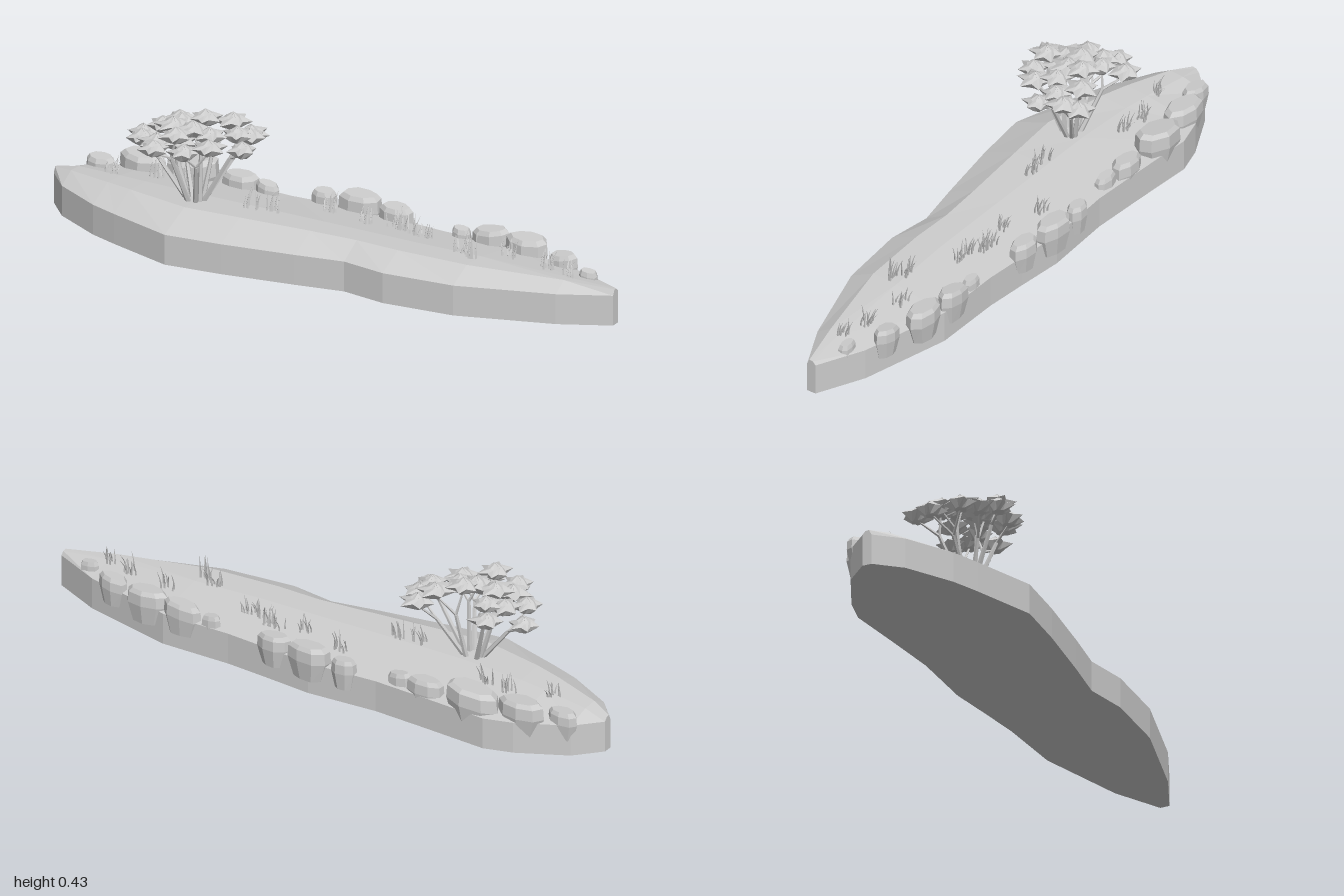
import * as THREE from 'three';
import { mergeGeometries } from 'three/addons/utils/BufferGeometryUtils.js';

const stone = new THREE.MeshStandardMaterial({ color: 0xcccccc, flatShading: true, side: THREE.DoubleSide });
stone.name = 'pale grey';

let seed = 7;
const rand = (a = 0, b = 1) => {
  seed = (seed * 16807) % 2147483647;
  return a + (b - a) * (seed / 2147483647);
};
const V = (x, y, z) => new THREE.Vector3(x, y, z);

function part(name, geometries) {
  const flat = geometries.map((g) => {
    const n = g.index ? g.toNonIndexed() : g;
    n.deleteAttribute('uv');
    n.computeVertexNormals();
    return n;
  });
  const mesh = new THREE.Mesh(mergeGeometries(flat), stone);
  mesh.name = name;
  return mesh;
}

// Skin a list of equal loops and cap both ends
function loft(loops) {
  const p = [];
  const tri = (...vs) => vs.forEach((v) => p.push(v.x, v.y, v.z));
  const n = loops[0].length;
  for (let i = 0; i < loops.length - 1; i++) {
    for (let j = 0; j < n; j++) {
      const k = (j + 1) % n, A = loops[i], B = loops[i + 1];
      tri(A[j], A[k], B[k]);
      tri(A[j], B[k], B[j]);
    }
  }
  const first = loops[0], last = loops[loops.length - 1];
  for (let j = 1; j < n - 1; j++) {
    tri(first[0], first[j + 1], first[j]);
    tri(last[0], last[j], last[j + 1]);
  }
  const g = new THREE.BufferGeometry();
  g.setAttribute('position', new THREE.Float32BufferAttribute(p, 3));
  return g;
}

// Island stations: x, back z, middle z, ridge z, front z, middle y, ridge y
const stations = [
  [-1, -0.045, -0.035, -0.022, -0.013, 0.116, 0.118],
  [-0.925, -0.125, -0.04, 0.01, 0.067, 0.128, 0.132],
  [-0.765, -0.205, -0.02, 0.06, 0.152, 0.137, 0.143],
  [-0.67, -0.232, -0.01, 0.085, 0.185, 0.14, 0.147],
  [-0.45, -0.218, 0, 0.13, 0.253, 0.143, 0.149],
  [-0.26, -0.208, 0, 0.115, 0.232, 0.143, 0.148],
  [-0.02, -0.222, 0, 0.095, 0.193, 0.142, 0.146],
  [0.14, -0.207, 0, 0.085, 0.163, 0.141, 0.144],
  [0.29, -0.195, 0, 0.09, 0.185, 0.14, 0.143],
  [0.53, -0.195, -0.01, 0.08, 0.163, 0.137, 0.14],
  [0.84, -0.12, -0.02, 0.015, 0.065, 0.126, 0.13],
  [1, -0.045, -0.035, -0.022, -0.013, 0.116, 0.118],
];

function groundY(x, z) {
  let i = 0;
  while (i < stations.length - 2 && stations[i + 1][0] < x) i++;
  const a = stations[i], b = stations[i + 1], t = (x - a[0]) / (b[0] - a[0]);
  const [, zb, zm, zr, zf, ym, yr] = a.map((v, k) => v + (b[k] - v) * t);
  if (z < zm) return THREE.MathUtils.mapLinear(z, zb, zm, 0.105, ym);
  if (z < zr) return THREE.MathUtils.mapLinear(z, zm, zr, ym, yr);
  return THREE.MathUtils.mapLinear(z, zr, zf, yr, 0.1);
}

// Boulder: faceted barrel with a narrower foot and a chamfered top
function boulder(x, z, rx, rz, top) {
  const sides = 8, turn = rand(0, 1);
  const wobble = Array.from({ length: sides }, () => rand(0.88, 1.06));
  const tilt = rand(-0.15, 0.15);
  const rings = [[0.05, 0.72], [0.05 + (top - 0.05) * 0.55, 1], [top - 0.014, 0.96], [top, 0.76]];
  return loft(rings.map(([y, s]) => wobble.map((w, i) => {
    const a = turn - (i / sides) * Math.PI * 2;
    const dx = Math.cos(a) * rx * s * w, dz = Math.sin(a) * rz * s * w;
    return V(x + dx, y + (y > 0.06 ? dx * tilt - dz * 0.1 : 0), z + dz);
  })));
}

// Tapered limb between two points
function limb(a, b, r0, r1) {
  const d = b.clone().sub(a);
  const g = new THREE.CylinderGeometry(r1, r0, d.length(), 5, 1);
  g.applyQuaternion(new THREE.Quaternion().setFromUnitVectors(V(0, 1, 0), d.normalize()));
  return g.translate((a.x + b.x) / 2, (a.y + b.y) / 2, (a.z + b.z) / 2);
}

// Leaf tuft: pointed star rim between a peaked top and a shallow bowl
function tuft([x, y, z]) {
  const n = 12, turn = rand(0, 6), size = rand(0.9, 1.12);
  const reach = Array.from({ length: n }, (_, i) => (i % 2 ? 0.034 : rand(0.048, 0.062)) * size);
  const ring = (f, h) => reach.map((r, i) => {
    const a = turn - (i / n) * Math.PI * 2, q = f(r);
    return V(x + Math.cos(a) * q, y + h + (i % 2 ? 0.003 : 0) * size, z + Math.sin(a) * q);
  });
  return loft([ring(() => 0.02, -0.024), ring((r) => r, 0), ring(() => 0.022, 0.012), ring(() => 0.001, 0.026)]);
}

// Grass blade: thin cone that bends towards its tip
function blade(x, z, h) {
  const g = new THREE.CylinderGeometry(0.0006, 0.0042, h, 3, 3).translate(0, h / 2, 0);
  const p = g.attributes.position, lx = rand(-0.012, 0.012), lz = rand(-0.024, 0.004);
  for (let i = 0; i < p.count; i++) {
    const t = (p.getY(i) / h) ** 2;
    p.setXYZ(i, p.getX(i) + lx * t, p.getY(i), p.getZ(i) + lz * t);
  }
  return g.translate(x, groundY(x, z) - 0.004, z);
}

export function createModel() {
  const model = new THREE.Group();
  model.name = 'island';

  // Ground slab
  model.add(part('ground', [loft(stations.map(([x, zb, zm, zr, zf, ym, yr]) => [
    V(x, 0, zb), V(x, 0.105, zb), V(x, ym, zm), V(x, yr, zr), V(x, 0.1, zf), V(x, 0, zf),
  ]))]));

  // Boulders along the back shore: x, z, half width, half depth, top
  const boulders = [
    [-0.89, -0.113, 0.052, 0.034, 0.145], [-0.765, -0.158, 0.08, 0.05, 0.166],
    [-0.6, -0.182, 0.098, 0.055, 0.176], [-0.433, -0.186, 0.066, 0.037, 0.155],
    [-0.33, -0.18, 0.045, 0.025, 0.145], [-0.145, -0.207, 0.045, 0.03, 0.15],
    [-0.016, -0.21, 0.075, 0.042, 0.165], [0.118, -0.196, 0.058, 0.037, 0.155],
    [0.364, -0.175, 0.036, 0.023, 0.14], [0.47, -0.18, 0.066, 0.036, 0.158],
    [0.605, -0.17, 0.08, 0.046, 0.162], [0.75, -0.132, 0.052, 0.034, 0.148],
    [0.877, -0.075, 0.034, 0.022, 0.137],
  ];
  boulders.forEach((b) => model.add(part('boulder', [boulder(...b)])));

  // Tree: each stem forks to two neighbouring tufts
  const pairs = [
    [[-0.45, 0.404, 0], [-0.38, 0.39, -0.05]], [[-0.53, 0.385, 0.06], [-0.59, 0.36, 0.02]],
    [[-0.47, 0.393, 0.15], [-0.53, 0.35, 0.185]], [[-0.66, 0.32, 0.02], [-0.62, 0.34, 0.1]],
    [[-0.43, 0.35, 0.17], [-0.37, 0.36, 0.12]], [[-0.29, 0.345, 0.05], [-0.33, 0.375, 0.01]],
    [[-0.33, 0.35, -0.075], [-0.31, 0.36, -0.03]], [[-0.58, 0.35, -0.07], [-0.54, 0.37, -0.01]],
    [[-0.46, 0.385, 0.06], [-0.4, 0.375, 0.06]], [[-0.55, 0.35, 0.13], [-0.48, 0.355, 0.11]],
  ];
  const wood = [], leaves = [];
  pairs.forEach(([a, b], i) => {
    const A = V(...a), B = V(...b), mid = A.clone().add(B).multiplyScalar(0.5);
    const turn = Math.atan2(mid.z - 0.045, mid.x + 0.46);
    const base = V(-0.46 + Math.cos(turn) * 0.025, 0.135, 0.045 + Math.sin(turn) * 0.025);
    const fork = base.clone().lerp(mid, 0.62 + (i % 3) * 0.06);
    wood.push(limb(base, fork, 0.009, 0.006));
    [A, B].forEach((end) => {
      wood.push(limb(fork, end.clone().setY(end.y - 0.018), 0.005, 0.003));
      leaves.push(tuft(end.toArray()));
    });
  });
  const tree = new THREE.Group();
  tree.name = 'tree';
  tree.add(part('stems', wood), part('foliage', leaves));
  model.add(tree);

  // Grass clumps: x, z, blade height
  const clumps = [
    [-0.81, -0.03, 0.06], [-0.67, -0.08, 0.07], [-0.58, -0.07, 0.07], [-0.27, 0.02, 0.065],
    [-0.2, 0.01, 0.075], [-0.075, -0.12, 0.07], [0.07, -0.085, 0.06], [0.165, -0.11, 0.075],
    [0.2, -0.1, 0.085], [0.24, -0.085, 0.07], [0.295, -0.07, 0.055], [0.46, 0, 0.07],
    [0.51, 0.02, 0.085], [0.59, -0.07, 0.065], [0.74, -0.05, 0.07], [0.83, -0.03, 0.055],
  ];
  clumps.forEach(([x, z, h]) => model.add(part('grassClump', Array.from({ length: 9 }, () =>
    blade(x + rand(-0.025, 0.025), z + rand(-0.014, 0.014), h * rand(0.55, 1.05))))));

  return model;
}
